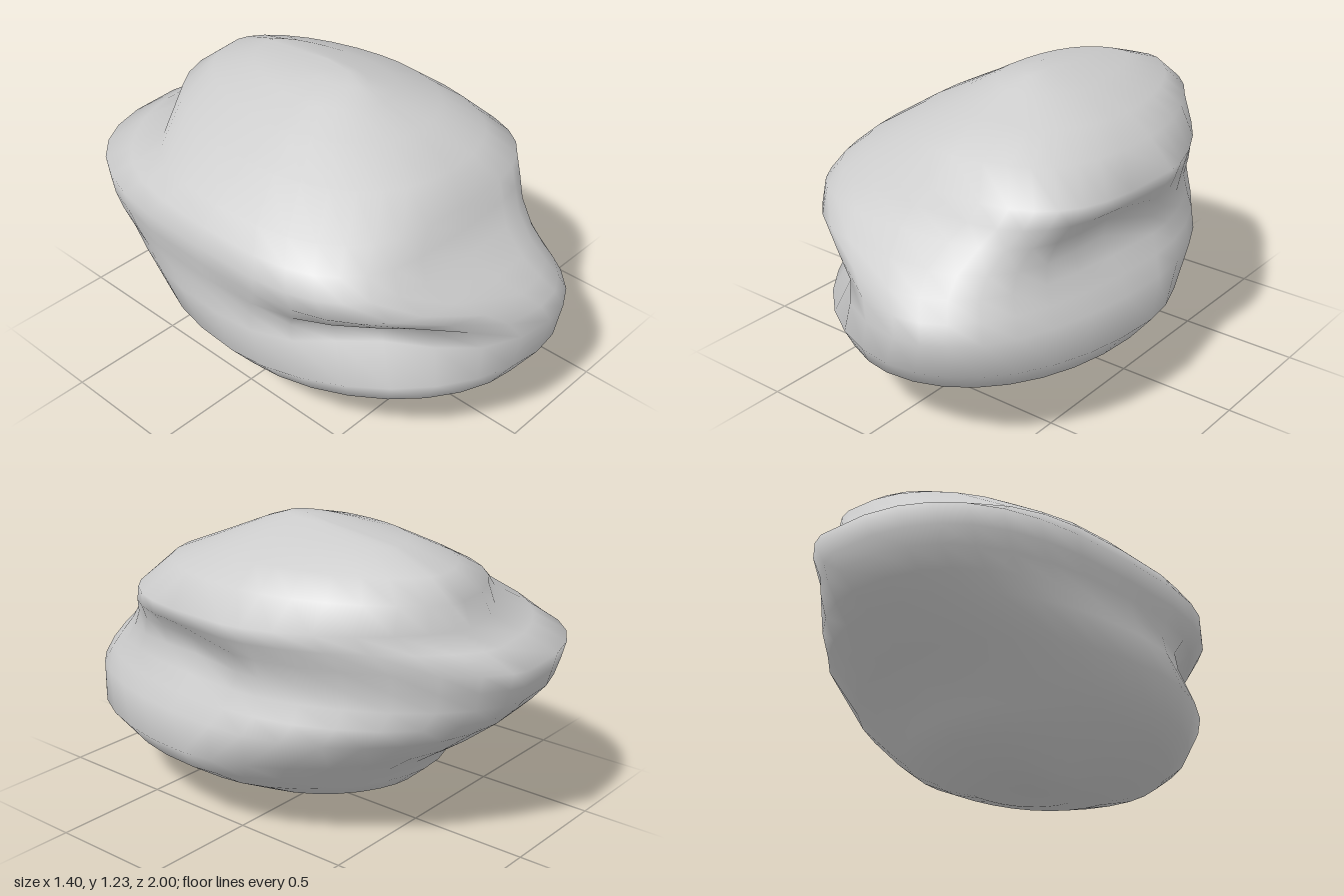
import * as THREE from 'three';

// Reach of the rock at each height: y, +x side, front, -x side, back
const LEVELS = [
  [0.005, -0.08, 0.06, -0.21, -0.1],
  [0.03, 0.14, 0.28, -0.31, -0.22],
  [0.1, 0.33, 0.55, -0.41, -0.38],
  [0.18, 0.5, 0.79, -0.55, -0.47],
  [0.26, 0.62, 0.92, -0.62, -0.52],
  [0.36, 0.7, 0.99, -0.7, -0.66],
  [0.49, 0.66, 1.0, -0.69, -0.82],
  [0.56, 0.62, 0.97, -0.68, -0.89],
  [0.63, 0.59, 0.92, -0.685, -0.95],
  [0.7, 0.58, 0.84, -0.695, -0.97],
  [0.78, 0.6, 0.74, -0.7, -1.0],
  [0.85, 0.63, 0.68, -0.66, -0.89],
  [0.92, 0.655, 0.64, -0.59, -0.79],
  [1.03, 0.55, 0.55, -0.42, -0.78],
  [1.11, 0.45, 0.36, -0.26, -0.68],
  [1.18, 0.28, 0.2, -0.13, -0.48],
  [1.215, 0.15, 0.1, 0.0, -0.15],
];
const STEPS = 8; // points per quarter turn

// Dents pressed into the surface: centre, reach and push
const DENTS = [
  { at: [-0.44, 0.54, 0.66], reach: [0.3, 0.09, 0.28], push: [0.08, 0.01, -0.12] },
  { at: [0.57, 0.74, 0.24], reach: [0.18, 0.09, 0.25], push: [-0.06, 0, -0.02] },
  { at: [-0.35, 0.92, -0.72], reach: [0.25, 0.08, 0.25], push: [0.04, 0, 0.05] },
];

const bump = (v, centre, width) => Math.exp(-(((v - centre) / width) ** 2));

// Extreme (x, z) points of a level; the widest band leans forward at its foot
function tips([y, right, front, left, back]) {
  const sideZ = -0.05 + 0.2 * bump(y, 0.28, 0.2);
  const frontX = (left + right) / 2 + 0.18 * bump(y, 0.5, 0.2);
  const backX = Math.min(0.13, -0.1 + 0.24 * y ** 3);
  return [[right, sideZ], [frontX, front], [left, sideZ], [backX, back]];
}

// Corner exponents at height y, lower being squarer: the brows above the
// front grooves are square, the back corner on the +x side is cut away
const roundness = (y) => [
  0.95 - 0.38 * bump(y, 0.86, 0.22),
  1.1 - 0.5 * bump(y, 0.8, 0.22),
  0.87 - 0.16 * bump(y, 0.75, 0.2),
  1.15 + 0.2 * bump(y, 0.8, 0.2) - 0.15 * bump(y, 0.5, 0.12),
];

function outlinePoint(level, j) {
  const quarter = Math.floor(j / STEPS);
  const t = ((j % STEPS) / STEPS) * Math.PI / 2;
  const corners = tips(level);
  const from = corners[quarter], to = corners[(quarter + 1) % 4];
  const power = roundness(level[0])[quarter];
  const c = Math.cos(t) ** power;
  const s = Math.sin(t) ** power;
  // Each quarter bends around the corner where the two tips' axes cross
  const [cx, cz] = quarter % 2 === 0 ? [to[0], from[1]] : [from[0], to[1]];
  return [
    cx + (from[0] - cx) * c + (to[0] - cx) * s,
    level[0],
    cz + (from[1] - cz) * c + (to[1] - cz) * s,
  ];
}

function dent(p) {
  const out = [...p];
  for (const { at, reach, push } of DENTS) {
    const weight = p.reduce((w, v, i) => w * bump(v, at[i], reach[i]), 1);
    push.forEach((v, i) => { out[i] += v * weight; });
  }
  return out;
}

function boulderGeometry() {
  const ring = STEPS * 4, rows = LEVELS.length;
  const positions = [], index = [];
  for (const level of LEVELS) {
    for (let j = 0; j < ring; j++) positions.push(...dent(outlinePoint(level, j)));
  }
  // Cap centres
  const bottom = rows * ring, top = bottom + 1;
  positions.push(-0.13, 0, 0, 0.1, 1.225, -0.01);

  for (let j = 0; j < ring; j++) {
    const next = (j + 1) % ring;
    index.push(bottom, j, next);
    for (let i = 0; i < rows - 1; i++) {
      const a = i * ring + j, b = i * ring + next;
      index.push(a, a + ring, b + ring, a, b + ring, b);
    }
    index.push((rows - 1) * ring + j, top, (rows - 1) * ring + next);
  }
  const geometry = new THREE.BufferGeometry();
  geometry.setAttribute('position', new THREE.Float32BufferAttribute(positions, 3));
  geometry.setIndex(index);
  geometry.computeVertexNormals();
  return geometry;
}

export function createModel() {
  const group = new THREE.Group();
  group.name = 'rock';
  const boulder = new THREE.Mesh(
    boulderGeometry(),
    new THREE.MeshStandardMaterial({ color: 0xcccccc }),
  );
  boulder.name = 'boulder';
  group.add(boulder);
  return group;
}
